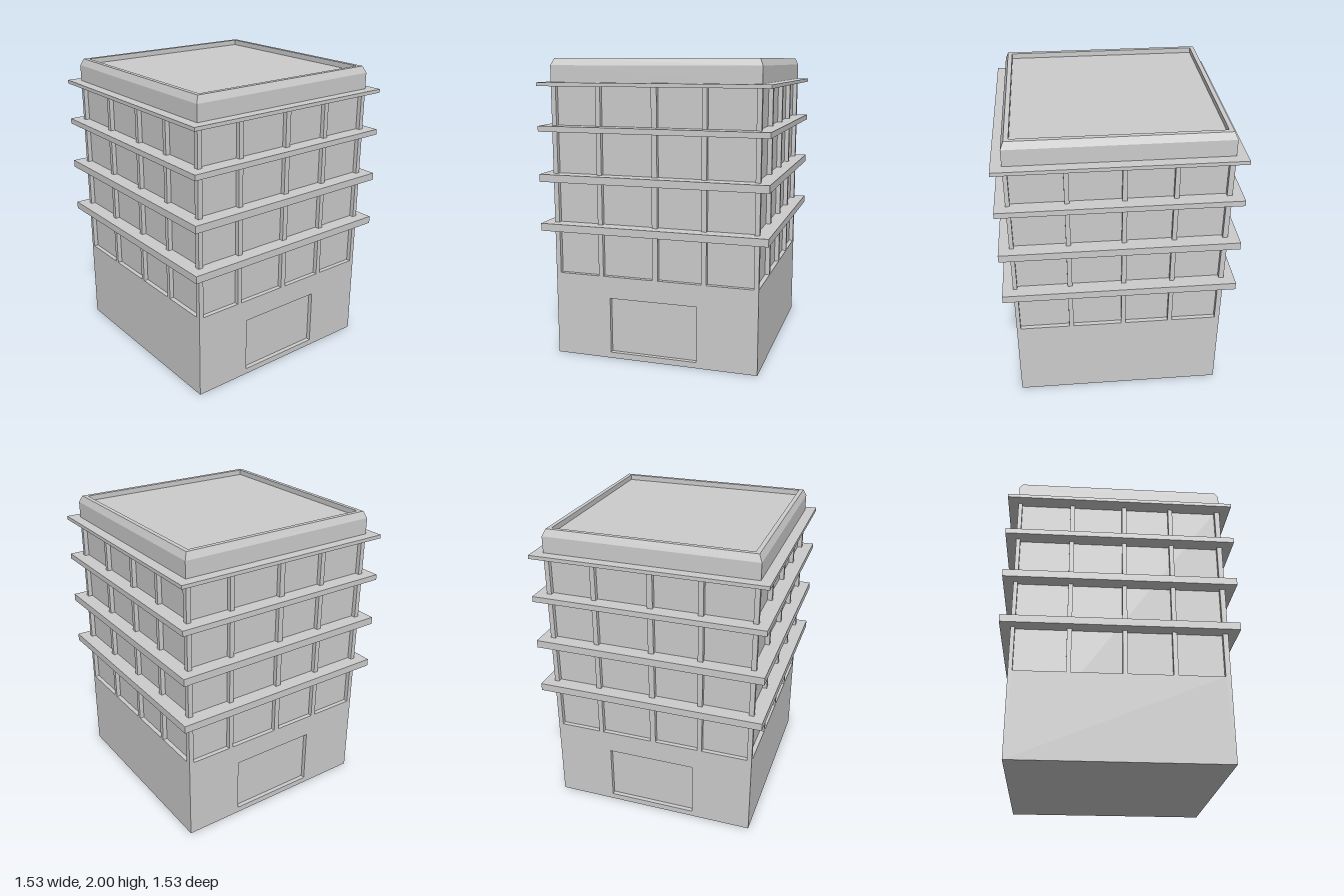
import * as THREE from 'three';

const HALF = 0.697;   // half width of the building
const DEPTH = 0.03;   // recess depth of windows and doors
const WALL_TOP = 1.835;

function rectPath(PathType, x0, x1, y0, y1) {
  const p = new PathType();
  p.moveTo(x0, y0);
  p.lineTo(x1, y0);
  p.lineTo(x1, y1);
  p.lineTo(x0, y1);
  p.closePath();
  return p;
}

export function createModel() {
  const model = new THREE.Group();
  model.name = 'officeBuilding';
  const material = new THREE.MeshStandardMaterial({ color: 0xcccccc, flatShading: true });

  const add = (name, geometry) => {
    const mesh = new THREE.Mesh(geometry, material);
    mesh.name = name;
    model.add(mesh);
    return mesh;
  };

  // Inner block, seen at the back of every recess
  const inner = HALF - DEPTH;
  add('core', new THREE.BoxGeometry(inner * 2, WALL_TOP, inner * 2)).position.y = WALL_TOP / 2;

  // Outer wall panel with tall bays cut between the pillars
  const wallGeometry = (halfWidth, bays, door) => {
    const shape = rectPath(THREE.Shape, -halfWidth, halfWidth, 0, WALL_TOP);
    for (const [a, b] of bays) shape.holes.push(rectPath(THREE.Path, a, b, 0.57, 1.83));
    if (door) shape.holes.push(rectPath(THREE.Path, ...door));
    return new THREE.ExtrudeGeometry(shape, { depth: DEPTH, bevelEnabled: false })
      .translate(0, 0, inner);
  };
  const frontBays = [[-0.67, -0.34], [-0.31, 0.015], [0.045, 0.335], [0.365, 0.663]];
  const sideBays = [[-0.665, -0.387], [-0.355, -0.01], [0.027, 0.322], [0.355, 0.665]];
  const frontWall = wallGeometry(HALF, frontBays);
  const sideWall = wallGeometry(inner, sideBays, [-0.31, 0.29, 0.04, 0.42]);
  add('frontWall', frontWall);
  add('backWall', frontWall).rotation.y = Math.PI;
  add('leftWall', sideWall).rotation.y = Math.PI / 2;
  add('rightWall', sideWall).rotation.y = -Math.PI / 2;

  // Projecting ledges at each floor: bottom and top heights
  const ledges = [[0.87, 0.92], [1.2, 1.25], [1.53, 1.567], [1.823, 1.847]];
  for (const [y0, y1] of ledges) {
    add('floorLedge', new THREE.BoxGeometry(1.532, y1 - y0, 1.532)).position.y = (y0 + y1) / 2;
  }

  // Parapet with bevelled rim and sunken roof, turned as a square
  const profile = [
    [HALF, 1.84], [HALF, 1.955], [0.677, 2], [0.648, 2], [0.648, 1.965], [0, 1.965],
  ].map(([r, y]) => new THREE.Vector2(r * Math.SQRT2, y));
  const roof = new THREE.LatheGeometry(profile, 4, Math.PI / 4).toNonIndexed();
  roof.computeVertexNormals();
  add('parapetRoof', roof);

  return model;
}
